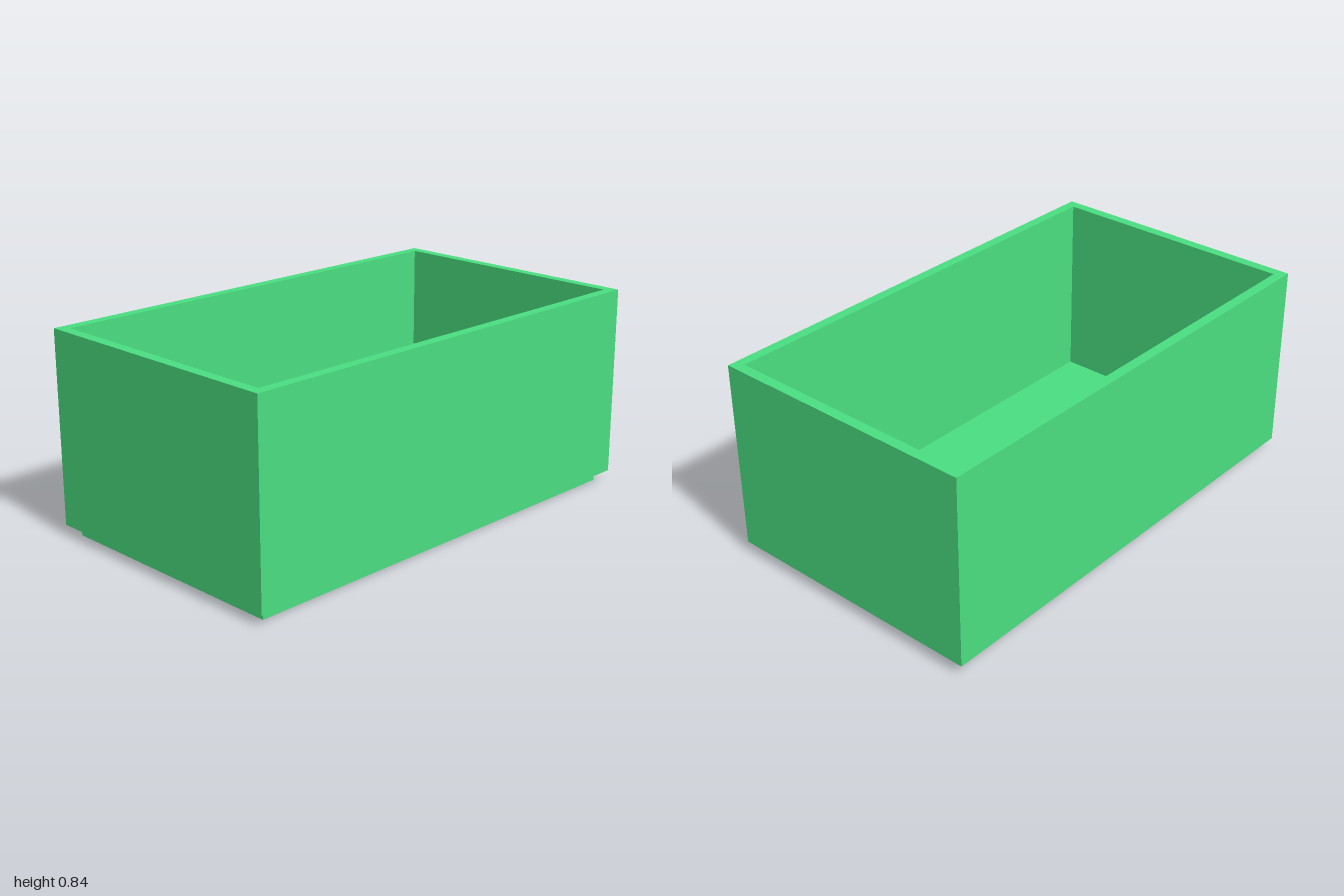
import * as THREE from 'three';

const WIDTH = 1.145, LENGTH = 2, HEIGHT = 0.842;
const WALL = 0.043, BASE = 0.045;

// Rectangle centred on the origin, as an outline or a hole
function rectangle(PathClass, w, l) {
  return new PathClass([
    [-w / 2, -l / 2], [w / 2, -l / 2], [w / 2, l / 2], [-w / 2, l / 2],
  ].map(([x, y]) => new THREE.Vector2(x, y)));
}

export function createModel() {
  const group = new THREE.Group();
  group.name = 'openBox';
  const material = new THREE.MeshStandardMaterial({ color: 0x4ade80 });
  const innerW = WIDTH - 2 * WALL, innerL = LENGTH - 2 * WALL;

  // Four walls as one open rectangular ring
  const ring = rectangle(THREE.Shape, WIDTH, LENGTH);
  ring.holes.push(rectangle(THREE.Path, innerW, innerL));
  const wallGeometry = new THREE.ExtrudeGeometry(ring, { depth: HEIGHT - BASE, bevelEnabled: false });
  wallGeometry.rotateX(-Math.PI / 2);
  const walls = new THREE.Mesh(wallGeometry, material);
  walls.name = 'walls';
  walls.position.y = BASE;
  group.add(walls);

  // Inset base plate that closes the bottom and steps in under the walls
  const base = new THREE.Mesh(new THREE.BoxGeometry(innerW, BASE, innerL), material);
  base.name = 'base';
  base.position.y = BASE / 2;
  group.add(base);

  return group;
}
